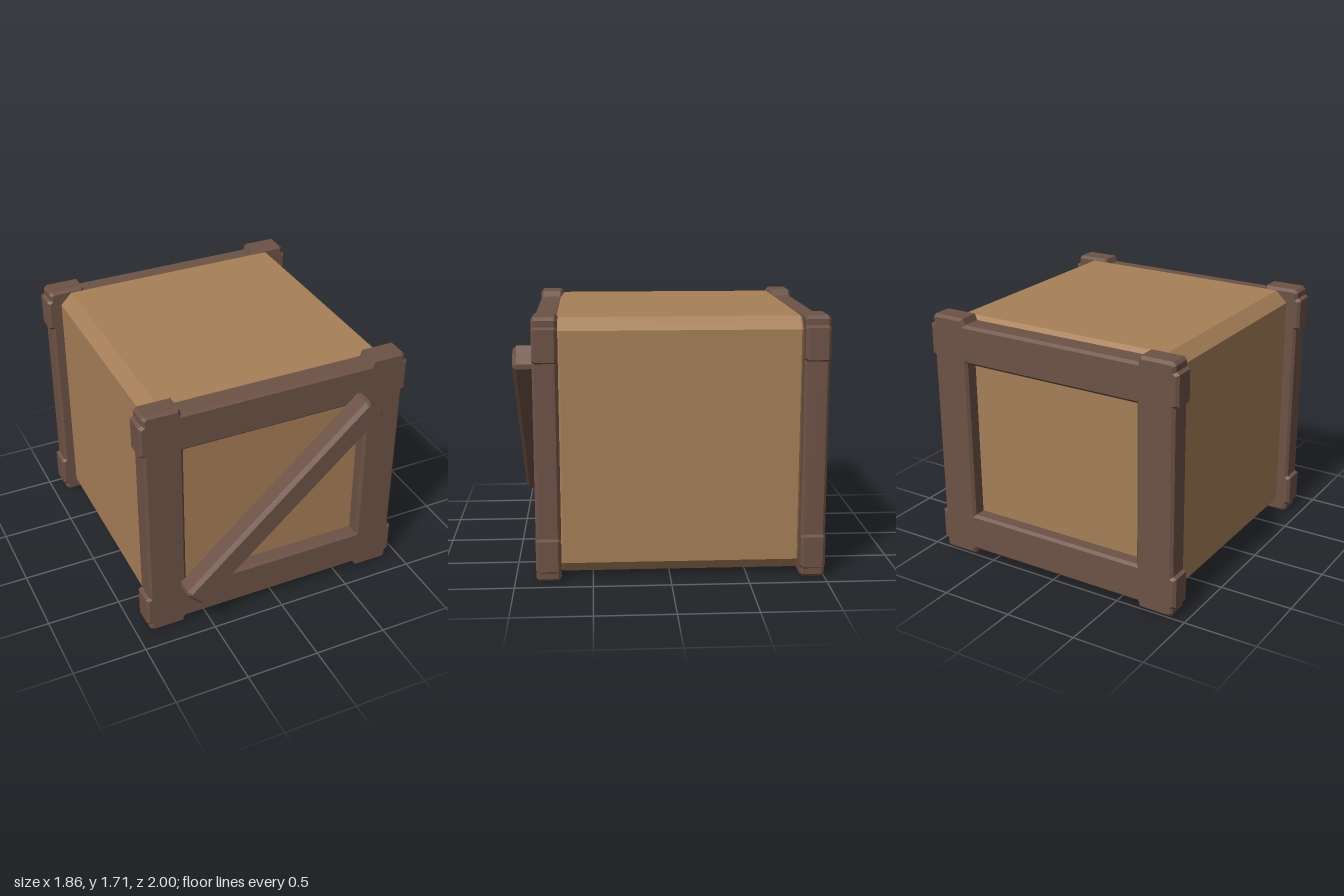
import * as THREE from 'three';
import { ConvexGeometry } from 'three/addons/geometries/ConvexGeometry.js';

const MID_Y = 0.853;   // mid-height of the crate
const MID_Z = -0.068;  // middle between the two end frames

const boxWood = new THREE.MeshStandardMaterial({ color: 0xa67f58, flatShading: true });
const frameWood = new THREE.MeshStandardMaterial({ color: 0x6d5246, flatShading: true });

function addMesh(parent, name, geometry, material) {
  const mesh = new THREE.Mesh(geometry, material);
  mesh.name = name;
  parent.add(mesh);
  return mesh;
}

// Box with every edge cut off at 45 degrees
function chamferedBox(hx, hy, hz, c) {
  const points = [];
  for (const x of [-1, 1]) for (const y of [-1, 1]) for (const z of [-1, 1]) {
    points.push(
      new THREE.Vector3(x * hx, y * (hy - c), z * (hz - c)),
      new THREE.Vector3(x * (hx - c), y * hy, z * (hz - c)),
      new THREE.Vector3(x * (hx - c), y * (hy - c), z * hz));
  }
  return new ConvexGeometry(points);
}

// Centred slab whose bevels stay inside the given outline
function bevelledSlab(shape, depth, bevel) {
  const geometry = new THREE.ExtrudeGeometry(shape, {
    depth: depth - 2 * bevel, bevelEnabled: true, bevelSegments: 1,
    bevelThickness: bevel, bevelSize: bevel, bevelOffset: -bevel,
  });
  return geometry.translate(0, 0, bevel - depth / 2);
}

// Frame outline: one quarter with its thicker corner block, mirrored four ways
function frameShape() {
  const quarter = [
    [0.905, 0.565], [0.928, 0.577], [0.928, 0.78], [0.905, 0.793],
    [0.905, 0.833], [0.885, 0.853], [0.665, 0.853], [0.65, 0.812],
  ];
  const back = [...quarter].reverse();
  const flip = (list, sx, sy) => list.map(([x, y]) => new THREE.Vector2(x * sx, y * sy));
  const shape = new THREE.Shape([
    ...flip(quarter, 1, 1), ...flip(back, -1, 1),
    ...flip(quarter, -1, -1), ...flip(back, 1, -1),
  ]);
  const w = 0.643, h = 0.548;
  shape.holes.push(new THREE.Path(
    [[-w, -h], [-w, h], [w, h], [w, -h]].map(([x, y]) => new THREE.Vector2(x, y))));
  return shape;
}

export function createModel() {
  const crate = new THREE.Group();
  crate.name = 'crate';

  // Body
  addMesh(crate, 'crateBody', chamferedBox(0.833, 0.833, 0.838, 0.078), boxWood)
    .position.set(0, 0.857, MID_Z);

  // End frames
  const frame = bevelledSlab(frameShape(), 0.16, 0.018);
  for (const [name, side] of [['frontFrame', 1], ['backFrame', -1]]) {
    addMesh(crate, name, frame, frameWood).position.set(0, MID_Y, MID_Z + side * 0.852);
  }

  // Diagonal brace across the front
  const L = 0.862, W = 0.092, c = 0.022;
  const outline = new THREE.Shape([
    [L, -W + c], [L, W - c], [L - c, W], [-L + c, W],
    [-L, W - c], [-L, -W + c], [-L + c, -W], [L - c, -W],
  ].map(([x, y]) => new THREE.Vector2(x, y)));
  const brace = addMesh(crate, 'diagonalBrace', bevelledSlab(outline, 0.16, 0.025), frameWood);
  brace.position.set(0, 0.855, 0.92);
  brace.rotation.z = 0.735;

  return crate;
}
